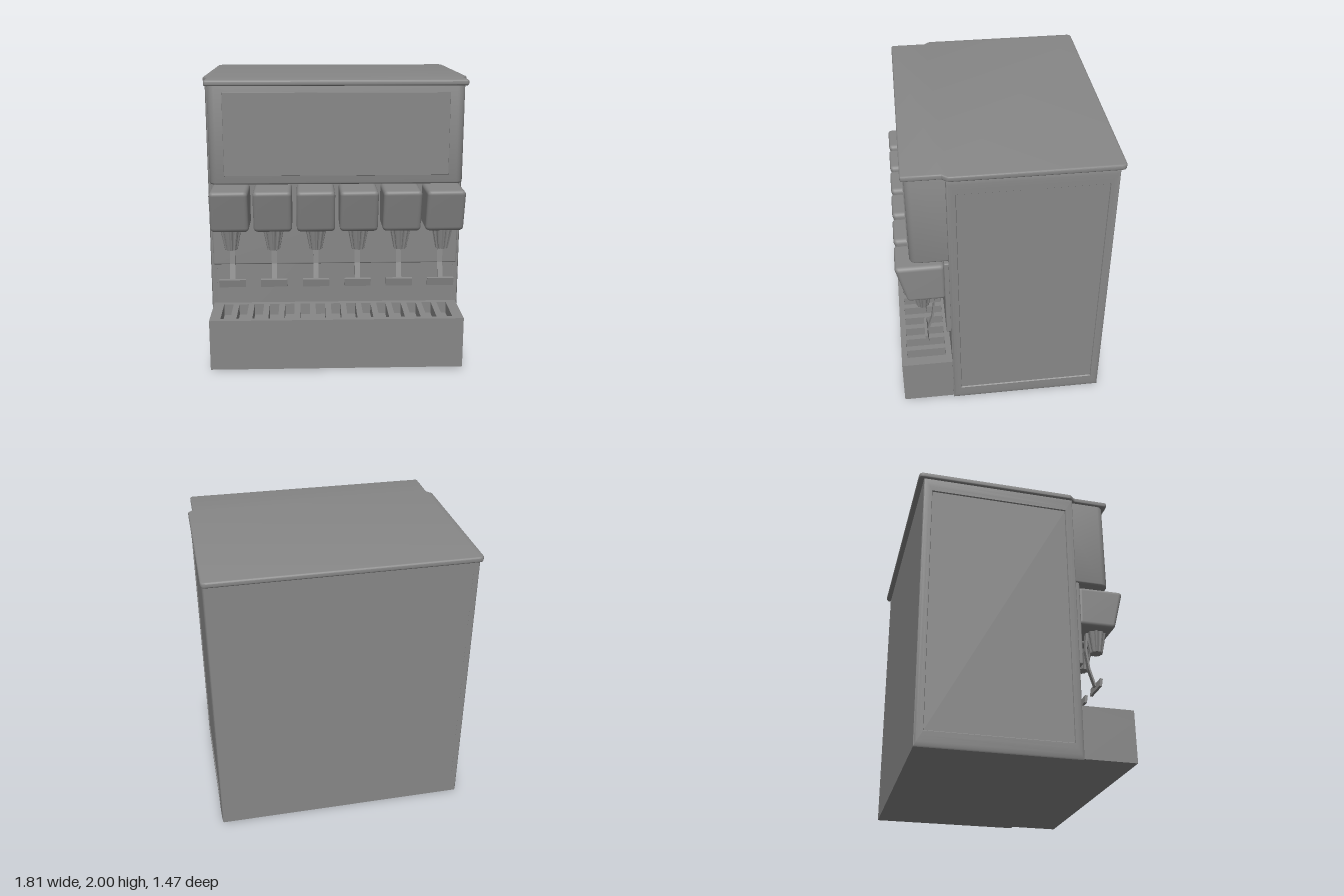
import * as THREE from 'three';
import { mergeVertices, toCreasedNormals } from 'three/addons/utils/BufferGeometryUtils.js';
import { RoundedBoxGeometry } from 'three/addons/geometries/RoundedBoxGeometry.js';

const grey = new THREE.MeshStandardMaterial({ color: 0x878787 });
const greyFlat = new THREE.MeshStandardMaterial({ color: 0x878787, flatShading: true });

// move every vertex by a rule
function warp(geo, rule) {
  const p = geo.attributes.position, v = new THREE.Vector3();
  for (let i = 0; i < p.count; i++) {
    rule(v.fromBufferAttribute(p, i));
    p.setXYZ(i, v.x, v.y, v.z);
  }
  return geo;
}

// geometry filling the given ranges, optionally with rounded edges
function block(x0, x1, y0, y1, z0, z1, r = 0) {
  const s = [x1 - x0, y1 - y0, z1 - z0];
  const g = r ? new RoundedBoxGeometry(...s, 3, r) : new THREE.BoxGeometry(...s);
  return g.translate((x0 + x1) / 2, (y0 + y1) / 2, (z0 + z1) / 2);
}

const polygon = pts => new THREE.Shape(pts.map(p => new THREE.Vector2(...p)));

// side profile given as [z, y], extruded to a width centred on x = 0
function profileX(pts, width) {
  return new THREE.ExtrudeGeometry(polygon(pts), { depth: width, bevelEnabled: false })
    .translate(0, 0, -width / 2).rotateY(-Math.PI / 2);
}

// plan outline [x, z] extruded down from a height, with rounded top and bottom edges
function slab(shape, top, height, bevel) {
  const g = new THREE.ExtrudeGeometry(shape, {
    depth: height - 2 * bevel, bevelThickness: bevel, bevelSize: bevel, bevelOffset: -bevel,
    bevelSegments: 3, curveSegments: 6,
  });
  return toCreasedNormals(g.rotateX(Math.PI / 2).translate(0, top - bevel, 0), 0.6);
}

// side face: rounded frame around a slightly recessed panel, as [x, inset] steps
function sideGeometry() {
  const steps = [[0.85, 0], [0.885, 0], [0.89, 0.08], [0.894, 0.3], [0.896, 0.65],
    [0.896, 0.95], [0.889, 1]];
  const n = steps.length - 1;
  const g = warp(new THREE.BoxGeometry(1, 1.965, 1.077, n, 1, 1), v => {
    const [x, inset] = steps[Math.round((v.x + 0.5) * n)];
    v.x = x;
    v.y -= Math.sign(v.y) * 0.108 * inset;
    v.z -= Math.sign(v.z) * 0.06 * inset;
  });
  return toCreasedNormals(g, 0.7);
}

// lid outline with a chamfered step, wide at the back
function lidShape() {
  const w = 0.905, f = 0.872, b = -0.737, r = 0.035;
  const s = new THREE.Shape();
  s.moveTo(-f, 0.628);
  s.quadraticCurveTo(-f, 0.648, -f + 0.02, 0.648);
  s.lineTo(f - 0.02, 0.648);
  s.quadraticCurveTo(f, 0.648, f, 0.628);
  s.lineTo(f, 0.4);
  s.lineTo(w, 0.36);
  s.lineTo(w, b + r);
  s.quadraticCurveTo(w, b, w - r, b);
  s.lineTo(-w + r, b);
  s.quadraticCurveTo(-w, b, -w, b + r);
  s.lineTo(-w, 0.36);
  s.lineTo(-f, 0.4);
  return s;
}

// display housing outline with rounded front corners
function housingShape() {
  const w = 0.857, z = 0.627, r = 0.055;
  const s = new THREE.Shape();
  s.moveTo(-w, 0.3);
  s.lineTo(w, 0.3);
  s.lineTo(w, z - r);
  s.absarc(w - r, z - r, r, 0, Math.PI / 2);
  s.absarc(-w + r, z - r, r, Math.PI / 2, Math.PI);
  return s;
}

// drip grate: plate with a row of slots running front to back
function grateGeometry() {
  const s = polygon([[-0.878, 0.375], [0.878, 0.375], [0.878, 0.735], [-0.878, 0.735]]);
  const n = 15, pitch = 0.11, h = 0.034;
  for (let i = 0; i < n; i++) {
    const x = (i - (n - 1) / 2) * pitch;
    s.holes.push(polygon([[x - h, 0.415], [x - h, 0.695], [x + h, 0.695], [x + h, 0.415]]));
  }
  return new THREE.ExtrudeGeometry(s, { depth: 0.08, bevelEnabled: false })
    .rotateX(Math.PI / 2).translate(0, 0.37, 0);
}

// valve body: rounded box whose front leans back toward the bottom
function valveGeometry() {
  let g = block(-0.13, 0.13, 0.975, 1.27, 0.4, 0.732, 0.03);
  warp(g, v => {
    const down = (1.27 - v.y) / 0.295;
    v.z -= 0.075 * down * (v.z - 0.4) / 0.332;
  });
  g.deleteAttribute('normal');
  g.deleteAttribute('uv');
  g = mergeVertices(g, 1e-5);
  g.computeVertexNormals();
  return g;
}

// nozzle: tapered cylinder with flutes
function nozzleGeometry() {
  const n = 40, g = new THREE.CylinderGeometry(0.074, 0.044, 0.15, n);
  warp(g, v => {
    const i = Math.round((Math.atan2(v.x, v.z) / (2 * Math.PI) + 1) * n) % n;
    const k = i % 4 < 2 ? 1 : 0.88;
    v.x *= k;
    v.z *= k;
  });
  return g.translate(0, 0.905, 0.557);
}

export function createModel() {
  const model = new THREE.Group();
  const add = (name, geo, parent = model, mat = grey) => {
    const m = new THREE.Mesh(geo, mat);
    m.name = name;
    parent.add(m);
    return m;
  };

  // cabinet with framed sides and lid
  add('cabinet', block(-0.87, 0.87, 0, 1.965, -0.701, 0.375));
  add('lid', slab(lidShape(), 2, 0.038, 0.01));
  const side = sideGeometry();
  for (const dir of [1, -1]) {
    const m = add(dir > 0 ? 'leftSide' : 'rightSide', side);
    m.position.set(0, 0.9825, -0.163);
    m.rotation.y = dir > 0 ? 0 : Math.PI;
  }

  // upper display housing with a bevelled front panel
  add('displayHousing', slab(housingShape(), 1.975, 0.675, 0.014));
  const panel = new THREE.BoxGeometry(1.52, 0.568, 0.02);
  warp(panel, v => {
    if (v.z < 0) return;
    v.x -= Math.sign(v.x) * 0.007;
    v.y -= Math.sign(v.y) * 0.007;
  });
  add('displayPanel', toCreasedNormals(panel, 0.3)).position.set(0, 1.64, 0.623);

  // plate behind the valves
  add('backPlate', block(-0.872, 0.872, 0.67, 1.292, 0.355, 0.407, 0.01));

  // drip tray
  add('dripTray', block(-0.878, 0.878, 0.01, 0.29, 0.375, 0.735));
  add('dripGrate', grateGeometry());

  // six dispensing valves
  const valve = valveGeometry(), nozzle = nozzleGeometry();
  const lever = profileX([
    [0.485, 0.985], [0.472, 0.84], [0.49, 0.7], [0.528, 0.58],
    [0.54, 0.58], [0.502, 0.705], [0.484, 0.84], [0.5, 0.985],
  ], 0.036);
  const paddle = profileX([[0.53, 0.55], [0.547, 0.548], [0.556, 0.602], [0.538, 0.606]], 0.186);
  for (let i = 0; i < 6; i++) {
    const group = new THREE.Group();
    group.name = 'dispenser' + (i + 1);
    group.position.x = (i - 2.5) * 0.2925 + 0.005;
    add('valveBody', valve, group);
    add('nozzle', nozzle, group, greyFlat);
    add('lever', lever, group);
    add('paddle', paddle, group);
    model.add(group);
  }
  return model;
}
